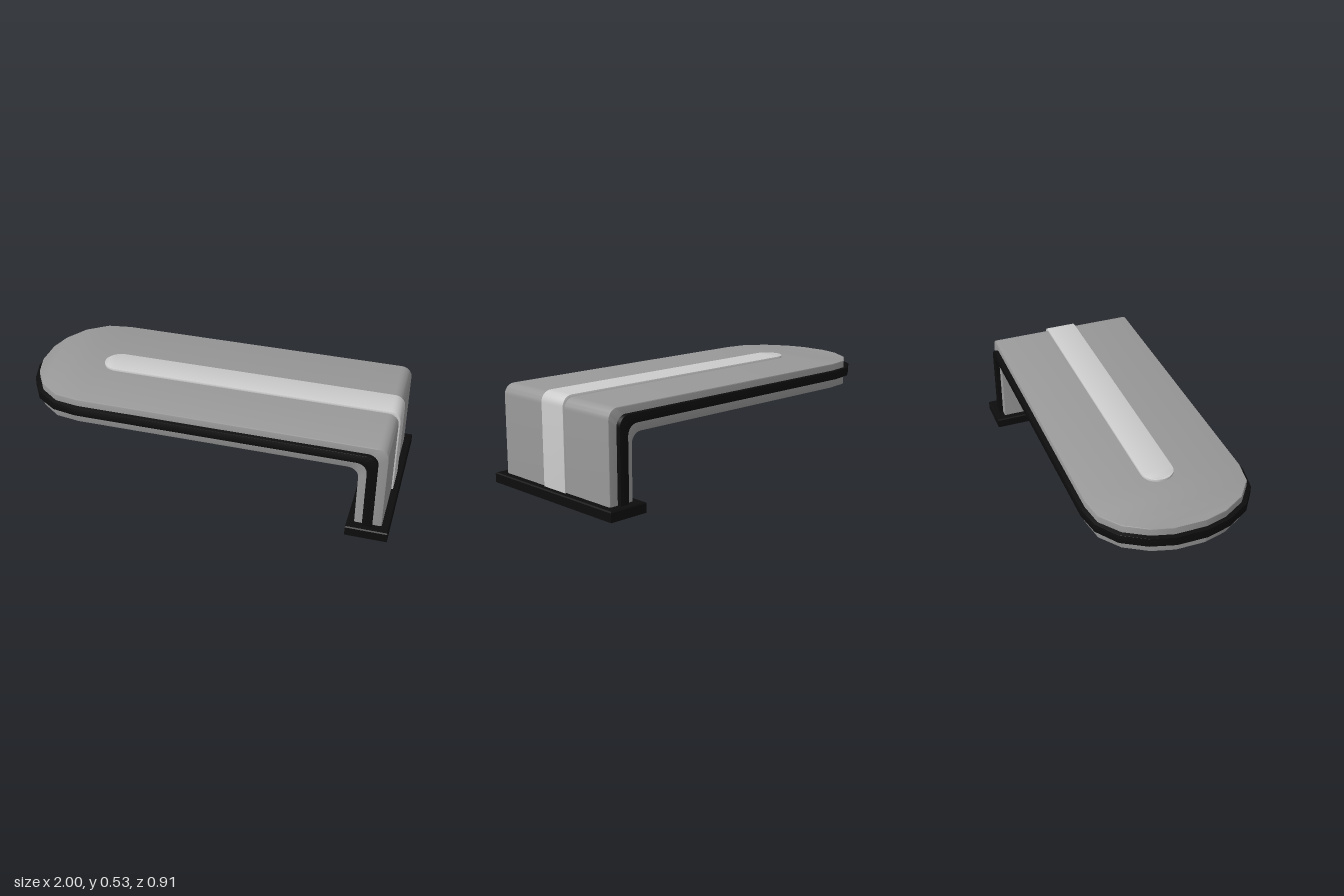
import * as THREE from 'three';
import { toCreasedNormals } from 'three/addons/utils/BufferGeometryUtils.js';

const mat = (name, color) => {
  const m = new THREE.MeshStandardMaterial({ color });
  m.name = name;
  return m;
};

// L-shaped run: along the tip stations, round the corner, down to the base
function run(tip, y, x, r, bottom) {
  const pts = tip.map(([tx]) => [tx, y]);
  const n = 8;
  for (let i = 0; i <= n; i++) {
    const a = (i / n) * Math.PI / 2;
    pts.push([x - r + r * Math.sin(a), y - r + r * Math.cos(a)]);
  }
  pts.push([x, bottom]);
  return pts;
}

// Slab lofted between an inner and an outer run; tip holds [x, half width] pairs
function bentSlab({ tip, inner, outer, radius, bevel, bottom = 0.045 }) {
  const lo = run(tip, inner[1], inner[0], radius, bottom);
  const hi = run(tip, outer[1], outer[0], radius, bottom);
  const last = tip[tip.length - 1][1];
  const rings = lo.map((p, i) => {
    const q = hi[i];
    const w = i < tip.length ? tip[i][1] : last;
    const c = Math.min(bevel, w / 2);
    const t = c / Math.hypot(q[0] - p[0], q[1] - p[1]);
    const at = (k, z) => [p[0] + (q[0] - p[0]) * k, p[1] + (q[1] - p[1]) * k, z];
    const half = [[1, w - c], [1 - t * 0.3, w - c * 0.3], [1 - t, w], [t, w], [t * 0.3, w - c * 0.3], [0, w - c]];
    return [...half.map(([k, z]) => at(k, z)), ...half.reverse().map(([k, z]) => at(k, -z))];
  });
  const pos = [];
  const tri = (a, b, c) => pos.push(...a, ...b, ...c);
  const n = rings[0].length;
  for (let i = 0; i < rings.length - 1; i++) {
    for (let j = 0; j < n; j++) {
      const k = (j + 1) % n;
      tri(rings[i][j], rings[i][k], rings[i + 1][k]);
      tri(rings[i][j], rings[i + 1][k], rings[i + 1][j]);
    }
  }
  const first = rings[0], end = rings[rings.length - 1];
  for (let j = 1; j < n - 1; j++) {
    tri(first[0], first[j + 1], first[j]);
    tri(end[0], end[j], end[j + 1]);
  }
  const g = new THREE.BufferGeometry();
  g.setAttribute('position', new THREE.Float32BufferAttribute(pos, 3));
  return toCreasedNormals(g, 0.55);
}

export function createModel() {
  const model = new THREE.Group();
  model.name = 'bentArm';
  const grey = mat('body grey', 0x999999);
  const light = mat('light grey', 0xcccccc);
  const black = mat('black', 0x0d0d0d);
  const add = (name, geometry, material, x = 0, y = 0, z = 0, parent = model) => {
    const mesh = new THREE.Mesh(geometry, material);
    mesh.name = name;
    mesh.position.set(x, y, z);
    parent.add(mesh);
    return mesh;
  };

  // Main shell
  add('body', bentSlab({
    tip: [[-0.975, 0.08], [-0.945, 0.19], [-0.875, 0.305], [-0.77, 0.383], [-0.645, 0.403]],
    inner: [0.822, 0.38], outer: [0.962, 0.514], radius: 0.055, bevel: 0.006,
  }), grey);

  // Dark band round the edge
  add('edgeBand', bentSlab({
    tip: [[-1, 0.08], [-0.965, 0.205], [-0.892, 0.325], [-0.78, 0.402], [-0.65, 0.426]],
    inner: [0.865, 0.43], outer: [0.915, 0.476], radius: 0.055, bevel: 0.002,
  }), black);

  // Raised strip with a round end
  const round = [];
  for (let i = 0; i <= 8; i++) {
    const a = 0.05 + (i / 8) * (Math.PI / 2 - 0.05);
    round.push([-0.64 + 0.083 * (1 - Math.cos(a)), 0.083 * Math.sin(a)]);
  }
  add('topStrip', bentSlab({
    tip: round, inner: [0.945, 0.5], outer: [0.971, 0.526], radius: 0.055, bevel: 0.003,
  }), light);

  // Base: recessed frame, plate and chamfered lip
  const base = new THREE.Group();
  base.name = 'base';
  base.position.x = 0.8925;
  model.add(base);
  const W = 0.215, D = 0.91;
  const rect = (S, w, d) => new S([[-w, -d], [w, -d], [w, d], [-w, d]].map(([x, y]) => new THREE.Vector2(x / 2, y / 2)));
  const frame = rect(THREE.Shape, W, D);
  frame.holes.push(rect(THREE.Path, W - 0.08, D - 0.08));
  add('baseFrame', new THREE.ExtrudeGeometry(frame, { depth: 0.03, bevelEnabled: false }).rotateX(-Math.PI / 2), black, 0, 0, 0, base);
  add('basePlate', new THREE.BoxGeometry(W, 0.016, D), black, 0, 0.038, 0, base);
  const lip = new THREE.BoxGeometry(W, 0.006, D);
  const p = lip.attributes.position;
  for (let i = 0; i < p.count; i++) {
    if (p.getY(i) > 0) p.setXYZ(i, p.getX(i) - Math.sign(p.getX(i)) * 0.005, p.getY(i), p.getZ(i) - Math.sign(p.getZ(i)) * 0.005);
  }
  lip.computeVertexNormals();
  add('baseLip', lip, black, 0, 0.049, 0, base);

  // Small contacts under the base
  for (const s of [-1, 1]) {
    add('contact', new THREE.CylinderGeometry(0.01, 0.01, 0.008, 12), light, 0, 0.027, s * 0.09, base);
  }
  return model;
}
